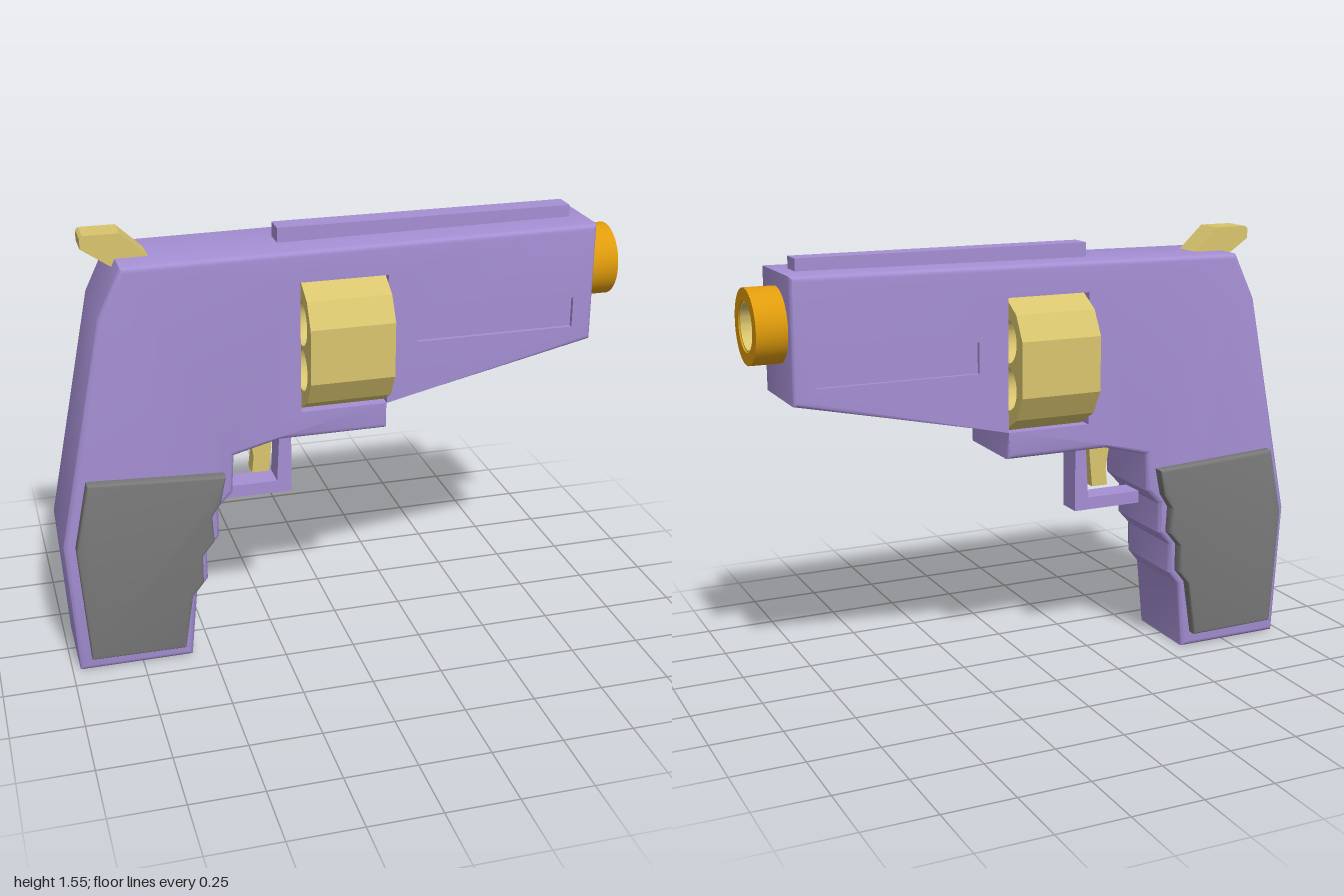
import * as THREE from 'three';
import { toCreasedNormals } from 'three/addons/utils/BufferGeometryUtils.js';

const material = (name, color) => {
  const m = new THREE.MeshStandardMaterial({ color });
  m.name = name;
  return m;
};

const shapeOf = (points) => new THREE.Shape(points.map(([x, y]) => new THREE.Vector2(x, y)));
const rectPath = ([x0, x1, y0, y1]) =>
  new THREE.Path([[x0, y0], [x0, y1], [x1, y1], [x1, y0]].map(([x, y]) => new THREE.Vector2(x, y)));

// Extrusion centred on z whose bevel stays inside the drawn outline
function slab(shape, half, bevel = 0) {
  return new THREE.ExtrudeGeometry(shape, {
    depth: 2 * (half - bevel), bevelEnabled: bevel > 0, bevelThickness: bevel,
    bevelSize: bevel, bevelOffset: -bevel, bevelSegments: 3, curveSegments: 24,
  }).translate(0, 0, bevel - half);
}

// Keep the edges of rectangular openings crisp instead of bevelled
function squareOpenings(geometry, rects, reach) {
  const p = geometry.attributes.position;
  for (let i = 0; i < p.count; i++) {
    const x = p.getX(i), y = p.getY(i);
    for (const [x0, x1, y0, y1] of rects) {
      if (x > x0 - reach && x < x1 + reach && y > y0 - reach && y < y1 + reach) {
        p.setXY(i, x < (x0 + x1) / 2 ? x0 : x1, y < (y0 + y1) / 2 ? y0 : y1);
      }
    }
  }
  geometry.computeVertexNormals();
  return geometry;
}

// Tube along x, from a closed rectangular lathe section
function ring(inner, outer, length) {
  const section = [[inner, 0], [outer, 0], [outer, length], [inner, length], [inner, 0]];
  const g = new THREE.LatheGeometry(section.map(([r, h]) => new THREE.Vector2(r, h)), 48);
  return toCreasedNormals(g.rotateZ(-Math.PI / 2), 0.5);
}

export function createModel() {
  const purple = material('purple shell', 0xa58fd4);
  const tan = material('pale gold', 0xd9c56e);
  const orange = material('orange', 0xe09c0c);
  const gray = material('grip gray', 0x787878);
  const model = new THREE.Group();
  model.name = 'toyRevolver';

  const add = (name, geometry, mat, x = 0, y = 0, z = 0) => {
    const mesh = new THREE.Mesh(geometry, mat);
    mesh.name = name;
    mesh.position.set(x, y, z);
    model.add(mesh);
    return mesh;
  };

  // Frame, handle and barrel housing in one shell with a drum window and side slots
  const openings = [[-0.163, 0.143, 0.9, 1.365], [0.25, 0.82, 1.115, 1.222]];
  const shell = shapeOf([
    [-0.972, 0], [-0.57, 0], [-0.545, 0.25], [-0.505, 0.3], [-0.505, 0.41], [-0.46, 0.46],
    [-0.46, 0.57], [-0.408, 0.625], [-0.4, 0.763], [-0.24, 0.804], [0.145, 0.804],
    [0.168, 0.983], [0.895, 1.06], [0.895, 1.48], [-0.755, 1.465], [-0.835, 1.3], [-1, 0.49],
  ]);
  shell.holes.push(...openings.map(rectPath));
  const shellGeometry = squareOpenings(slab(shell, 0.162, 0.018), openings, 0.03);
  add('body', toCreasedNormals(shellGeometry, 0.6), purple);
  add('sideSlotFloor', new THREE.BoxGeometry(0.58, 0.117, 0.294), purple, 0.535, 1.1685, 0);

  // Drum: six flats joined by narrow facets, with six open chambers
  const outline = [];
  const chambers = [];
  for (let k = 0; k < 6; k++) {
    for (const d of [-20, 20]) {
      const a = THREE.MathUtils.degToRad(60 * k + d);
      outline.push([0.281 * Math.cos(a), 0.281 * Math.sin(a)]);
    }
    const c = THREE.MathUtils.degToRad(60 * k + 30);
    chambers.push(new THREE.Path().absarc(0.163 * Math.cos(c), 0.163 * Math.sin(c), 0.077, 0, Math.PI * 2, true));
  }
  const drum = shapeOf(outline);
  drum.holes.push(...chambers);
  add('drum', toCreasedNormals(slab(drum, 0.147).rotateY(Math.PI / 2), 0.4), tan, -0.008, 1.134, 0);

  // Muzzle
  add('muzzleRing', ring(0.084, 0.127, 0.115), orange, 0.885, 1.305, 0);
  add('muzzleLiner', ring(0.077, 0.085, 0.11), tan, 0.885, 1.305, 0);
  add('muzzlePin', new THREE.CylinderGeometry(0.031, 0.031, 0.009, 24).rotateZ(Math.PI / 2), tan, 0.896, 1.305, 0);

  // Sight rail
  add('topRail', new THREE.BoxGeometry(1.05, 0.06, 0.08), purple, 0.315, 1.491, 0);

  // Hammer, trigger and guard
  add('hammer', slab(shapeOf([
    [-0.865, 1.505], [-0.755, 1.43], [-0.7, 1.42], [-0.645, 1.465], [-0.735, 1.549],
    [-0.855, 1.549], [-0.865, 1.54],
  ]), 0.054), tan);
  add('trigger', slab(shapeOf([
    [-0.312, 0.63], [-0.25, 0.63], [-0.232, 0.82], [-0.325, 0.82], [-0.305, 0.69],
  ]), 0.03), tan);
  add('triggerGuard', slab(shapeOf([
    [-0.435, 0.55], [-0.172, 0.55], [-0.172, 0.8], [-0.213, 0.81], [-0.225, 0.595], [-0.435, 0.595],
  ]), 0.047), purple);

  // Grip panels on both sides
  const panel = shapeOf([
    [-0.932, 0.06], [-0.6, 0.056], [-0.568, 0.26], [-0.528, 0.31], [-0.528, 0.412],
    [-0.485, 0.465], [-0.49, 0.56], [-0.458, 0.61], [-0.438, 0.708], [-0.91, 0.733], [-0.96, 0.49],
  ]);
  const panelGeometry = toCreasedNormals(slab(panel, 0.025, 0.01), 0.6);
  for (const [name, side] of [['frontGripPanel', 1], ['backGripPanel', -1]]) {
    add(name, panelGeometry, gray, 0, 0, side * 0.176);
  }

  return model;
}
